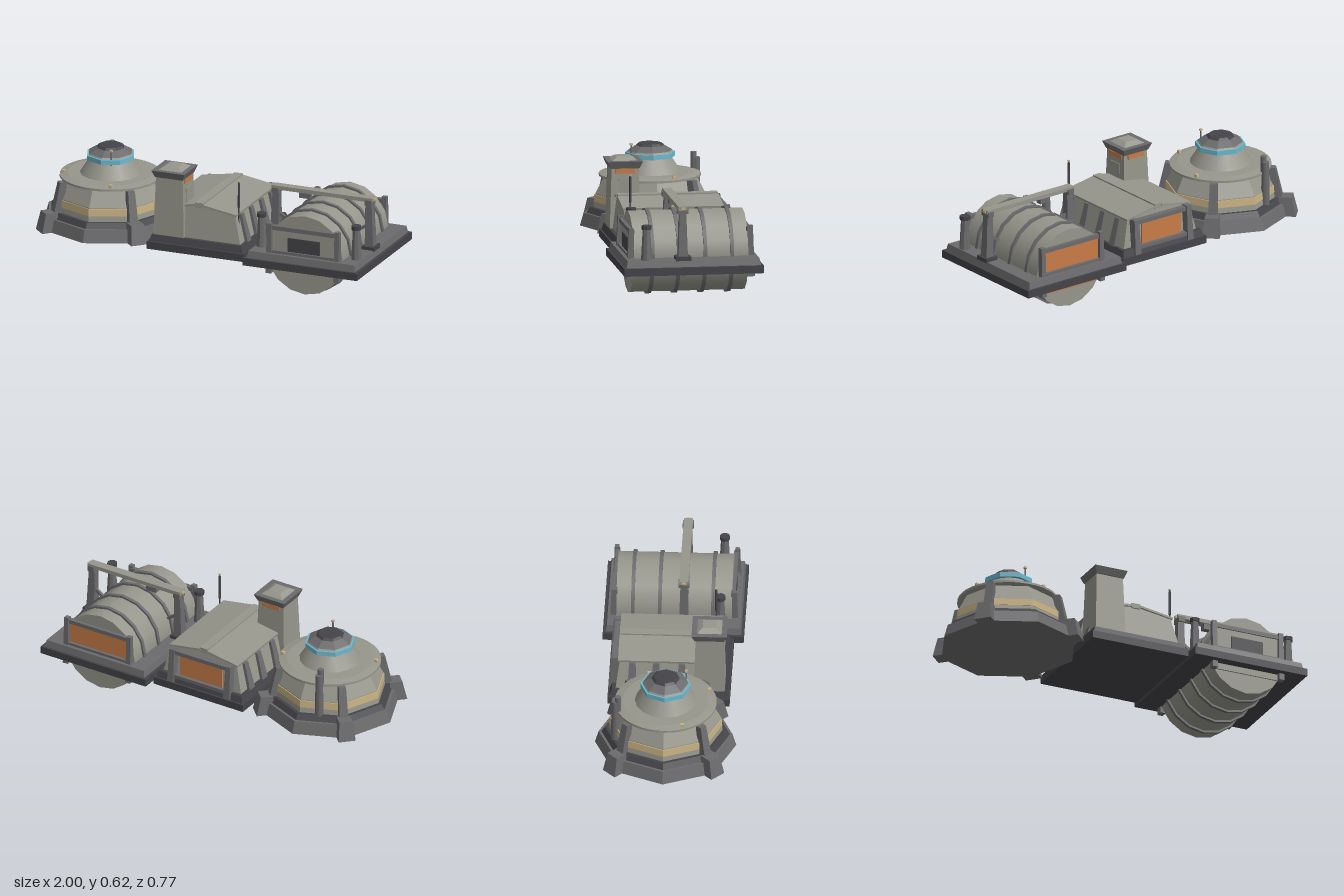
import * as THREE from 'three';

const mat = (name, color) => {
  const m = new THREE.MeshStandardMaterial({ color });
  m.name = name;
  return m;
};

export function createModel() {
  const light = mat('paleGrey', 0x96968c), mid = mat('midGrey', 0x6b6b6d), dark = mat('darkGrey', 0x444449);
  const cyan = mat('cyanGlass', 0x6cb9d0), orange = mat('orangePanel', 0xc77c47), tan = mat('tanLight', 0xc9b283);
  const root = new THREE.Group();

  const section = (name) => {
    const g = new THREE.Group();
    g.name = name;
    root.add(g);
    return g;
  };
  const put = (g, name, geo, m, x = 0, y = 0, z = 0) => {
    const o = new THREE.Mesh(geo, m);
    o.name = name;
    o.position.set(x, y, z);
    g.add(o);
    return o;
  };
  // box given by its lower and upper height
  const box = (g, name, m, x, z, w, d, y0, y1) =>
    put(g, name, new THREE.BoxGeometry(w, y1 - y0, d), m, x, (y0 + y1) / 2, z);
  // box whose top has its own size and may be shifted
  const taper = (g, name, m, x, z, [w0, d0], [w1, d1], y0, y1, sx = 0, sz = 0) => {
    const geo = new THREE.BoxGeometry(1, y1 - y0, 1).toNonIndexed();
    const p = geo.attributes.position;
    for (let i = 0; i < p.count; i++) {
      const top = p.getY(i) > 0;
      p.setX(i, p.getX(i) * (top ? w1 : w0) + (top ? sx : 0));
      p.setZ(i, p.getZ(i) * (top ? d1 : d0) + (top ? sz : 0));
    }
    geo.computeVertexNormals();
    return put(g, name, geo, m, x, (y0 + y1) / 2, z);
  };
  // upright cylinder or cone; eight-sided ones are faceted
  const drumUp = (g, name, m, x, z, r0, r1, y0, y1, n = 8) => {
    let geo = new THREE.CylinderGeometry(r1, r0, y1 - y0, n);
    if (n <= 8) {
      geo = geo.toNonIndexed();
      geo.computeVertexNormals();
    }
    return put(g, name, geo, m, x, (y0 + y1) / 2, z);
  };

  // ---- Observation dome ----
  const dome = section('observationDome');
  dome.position.x = -0.62;
  drumUp(dome, 'baseSkirt', mid, 0, 0, 0.385, 0.365, 0.155, 0.225);
  drumUp(dome, 'baseRim', dark, 0, 0, 0.35, 0.33, 0.225, 0.255);
  drumUp(dome, 'wall', light, 0, 0, 0.312, 0.3, 0.25, 0.33);
  drumUp(dome, 'windowBand', tan, 0, 0, 0.309, 0.306, 0.285, 0.325);
  drumUp(dome, 'upperWall', light, 0, 0, 0.3, 0.25, 0.33, 0.425);
  drumUp(dome, 'roofDisc', light, 0, 0, 0.278, 0.278, 0.425, 0.437, 40);
  drumUp(dome, 'roofSlope', light, 0, 0, 0.278, 0.235, 0.437, 0.446, 40);
  drumUp(dome, 'turret', light, 0, 0, 0.172, 0.115, 0.44, 0.53, 16);
  drumUp(dome, 'turretGlass', cyan, 0, 0, 0.138, 0.138, 0.528, 0.554);
  drumUp(dome, 'turretEave', light, 0, 0, 0.128, 0.122, 0.554, 0.563);
  drumUp(dome, 'turretRoof', mid, 0, 0, 0.124, 0.078, 0.563, 0.59);
  drumUp(dome, 'turretCap', dark, 0, 0, 0.08, 0.066, 0.588, 0.602);
  for (let i = 0; i < 4; i++) {
    const arm = new THREE.Group();
    arm.name = 'buttress';
    arm.rotation.y = Math.PI / 4 + i * Math.PI / 2;
    dome.add(arm);
    taper(arm, 'foot', mid, 0, 0.37, [0.095, 0.1], [0.075, 0.07], 0.155, 0.262, 0, -0.01);
    taper(arm, 'post', mid, 0, 0.318, [0.05, 0.05], [0.04, 0.04], 0.25, 0.425, 0, -0.035);
  }
  drumUp(dome, 'exhaustPipe', mid, -0.1, -0.27, 0.024, 0.02, 0.25, 0.5, 12);
  drumUp(dome, 'exhaustPipeTop', mid, -0.1, -0.255, 0.017, 0.017, 0.44, 0.53, 12);
  for (const [x, z] of [[0.24, -0.1], [-0.235, 0.1], [0.1, 0.235]])
    box(dome, 'marker', tan, x, z, 0.018, 0.018, 0.437, 0.457);
  drumUp(dome, 'sensorMast', mid, 0.05, 0.11, 0.005, 0.005, 0.52, 0.602, 6);
  box(dome, 'sensorTip', tan, 0.05, 0.11, 0.015, 0.015, 0.6, 0.61);

  // ---- Habitat with tower ----
  const hab = section('habitat');
  hab.position.x = 0.02;
  box(hab, 'baseSlab', dark, 0, 0, 0.575, 0.665, 0.155, 0.198);
  taper(hab, 'baseStep', dark, 0, 0, [0.555, 0.645], [0.53, 0.62], 0.198, 0.235);
  const gable = new THREE.Shape([[-0.25, 0.23], [0.25, 0.23], [0.21, 0.39], [0, 0.425], [-0.21, 0.39]]
    .map(([x, y]) => new THREE.Vector2(x, y)));
  const hall = new THREE.ExtrudeGeometry(gable, { depth: 0.58, bevelEnabled: false }).translate(0, 0, -0.29);
  const hp = hall.attributes.position;
  for (let i = 0; i < hp.count; i++) hp.setZ(i, hp.getZ(i) * (1 - 0.45 * (hp.getY(i) - 0.23)));
  hall.computeVertexNormals();
  put(hab, 'hall', hall, light);
  box(hab, 'ridgeBeam', light, 0, 0, 0.05, 0.55, 0.41, 0.438);
  for (const s of [-1, 1]) {
    const eave = box(hab, 'eave', light, s * 0.12, 0, 0.2, 0.556, 0.402, 0.414);
    eave.rotation.z = -s * 0.165;
    for (const z of [-0.2, -0.07, 0.07, 0.2])
      taper(hab, 'sideRib', mid, s * 0.25, z, [0.035, 0.05], [0.025, 0.035], 0.233, 0.385, -s * 0.035);
    taper(hab, 'doorPost', mid, s * 0.18, -0.305, [0.04, 0.055], [0.03, 0.045], 0.2, 0.395, 0, 0.012);
  }
  box(hab, 'doorLintel', mid, 0, -0.292, 0.36, 0.035, 0.365, 0.388);
  box(hab, 'doorSill', mid, 0, -0.305, 0.35, 0.035, 0.225, 0.245);
  box(hab, 'backDoor', orange, 0, -0.298, 0.27, 0.008, 0.245, 0.365);

  // tower at the front corner
  const tower = section('tower');
  tower.position.set(-0.148, 0, 0.22);
  taper(tower, 'shaft', light, 0, 0, [0.18, 0.17], [0.158, 0.148], 0.235, 0.562);
  taper(tower, 'capFlare', mid, 0, 0, [0.165, 0.16], [0.195, 0.193], 0.562, 0.602);
  taper(tower, 'capTop', light, 0, 0, [0.135, 0.135], [0.075, 0.075], 0.602, 0.621);
  box(tower, 'sideWindow', orange, 0.08, 0, 0.009, 0.108, 0.535, 0.561);
  box(tower, 'backWindow', orange, 0, -0.076, 0.108, 0.009, 0.535, 0.561);
  box(tower, 'sidePanel', light, 0.081, 0, 0.009, 0.075, 0.42, 0.505);
  // whip antenna
  drumUp(hab, 'antenna', dark, 0.22, 0.238, 0.004, 0.004, 0.235, 0.575, 6);
  drumUp(hab, 'antennaSleeve', dark, 0.22, 0.238, 0.007, 0.006, 0.43, 0.57, 6);
  box(hab, 'antennaTip', tan, 0.22, 0.238, 0.01, 0.01, 0.575, 0.584);

  // ---- Storage tank ----
  const tank = section('storageTank');
  tank.position.x = 0.662;
  box(tank, 'baseSlab', dark, 0, 0, 0.675, 0.768, 0.155, 0.197);
  taper(tank, 'baseStep', mid, 0, 0, [0.64, 0.74], [0.625, 0.725], 0.197, 0.235);
  const lying = (name, m, r, len, z) => {
    put(tank, name, new THREE.CylinderGeometry(r, r, len, 16), m, 0, 0.236, z).rotation.x = Math.PI / 2;
  };
  lying('drum', light, 0.225, 0.63, 0);
  for (const z of [0.212, 0.068, -0.078, -0.225]) lying('hoop', mid, 0.236, 0.02, z);

  // framed panels at both ends of the drum
  for (const s of [-1, 1]) {
    box(tank, 'endPanel', s > 0 ? light : orange, 0, s * 0.322, 0.37, 0.009, 0.12, 0.375);
    box(tank, 'endBeam', mid, 0, s * 0.322, 0.4, 0.025, 0.365, 0.388);
    box(tank, 'endSill', mid, 0, s * 0.328, 0.4, 0.03, 0.225, 0.25);
    for (const x of [-0.2, 0.2])
      taper(tank, 'endPost', mid, x, s * 0.332, [0.032, 0.04], [0.026, 0.026], 0.118, 0.4, 0, -s * 0.004);
  }
  box(tank, 'frontHatch', dark, 0, 0.328, 0.19, 0.009, 0.24, 0.328);

  // gantry over the drum and corner bollards
  for (const s of [-1, 1]) {
    box(tank, 'gantryFoot', dark, s * 0.28, 0.056, 0.075, 0.085, 0.23, 0.253);
    taper(tank, 'gantryPost', mid, s * 0.28, 0.056, [0.05, 0.052], [0.036, 0.036], 0.25, 0.508, -s * 0.006);
    box(tank, 'gantryHead', mid, s * 0.275, 0.056, 0.04, 0.06, 0.485, 0.515);
    box(tank, 'gantryLamp', tan, s * 0.301, 0.056, 0.009, 0.022, 0.511, 0.524);
    const brace = box(tank, 'gantryBrace', mid, s * 0.235, 0.056, 0.1, 0.016, 0.34, 0.356);
    brace.rotation.z = s * 0.6;
    drumUp(tank, 'bollard', mid, s * 0.28, 0.255, 0.03, 0.021, 0.233, 0.405);
    drumUp(tank, 'bollardCap', dark, s * 0.28, 0.255, 0.028, 0.028, 0.404, 0.426);
  }
  box(tank, 'gantryBeam', light, 0, 0.056, 0.595, 0.05, 0.505, 0.527);
  box(tank, 'hoist', mid, -0.105, 0.056, 0.065, 0.035, 0.473, 0.506);

  return root;
}
